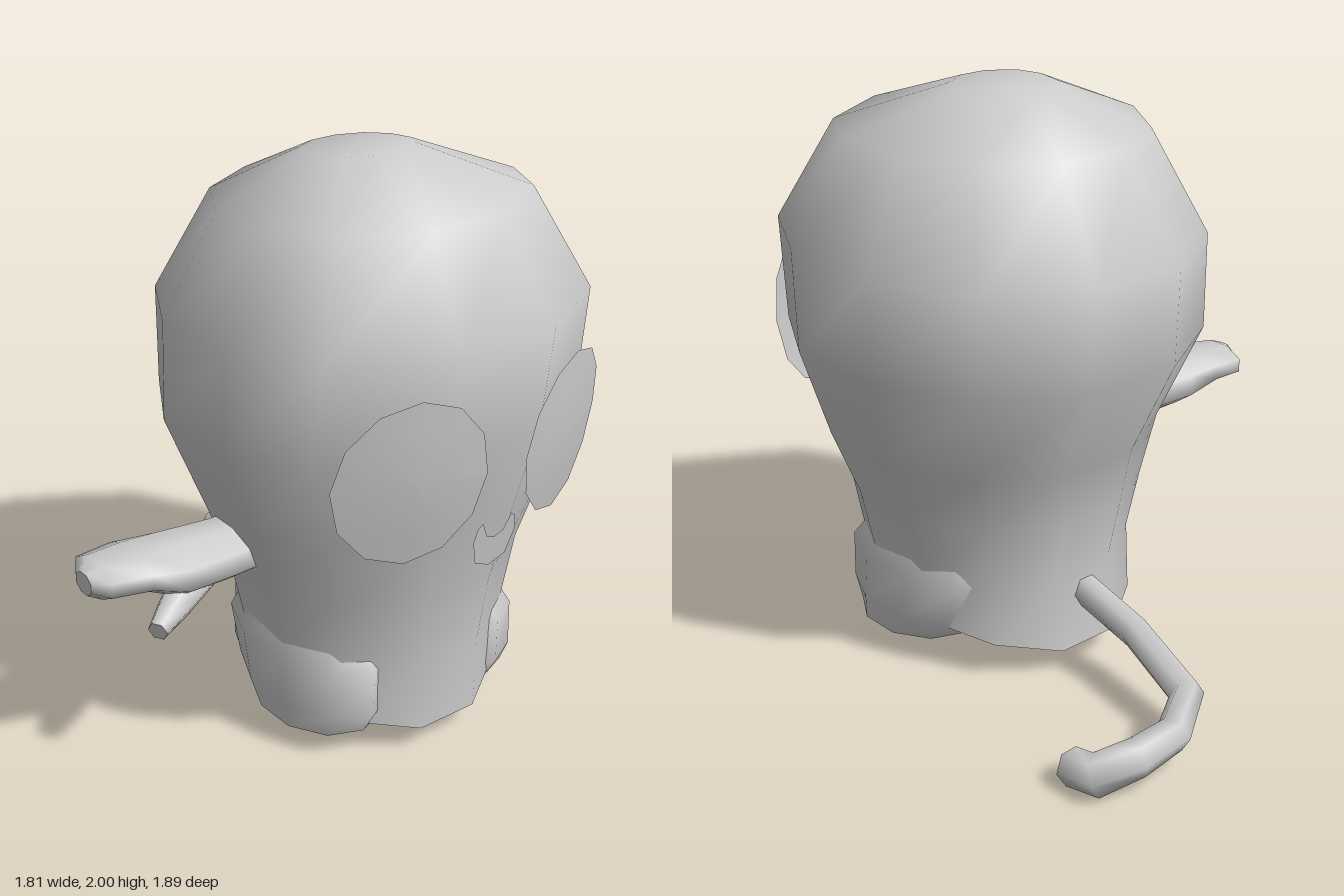
import * as THREE from 'three';

const material = new THREE.MeshStandardMaterial({ color: 0xcccccc, side: THREE.DoubleSide });
const MID = 0.2; // x of the body's plane of symmetry

function addMesh(group, name, geometry) {
  geometry.computeVertexNormals();
  const mesh = new THREE.Mesh(geometry, material);
  mesh.name = name;
  group.add(mesh);
}

// Closed skin over a list of rings; the caps have their own corners so their edges stay sharp.
function loft(rings, lift = 0) {
  const n = rings[0].length;
  const points = rings.flat();
  const index = [];
  for (let i = 0; i < rings.length - 1; i++) {
    for (let j = 0; j < n; j++) {
      const k = (j + 1) % n;
      const a = i * n + j, b = i * n + k, c = a + n, d = b + n;
      index.push(a, c, b, b, c, d);
    }
  }
  [rings[0], rings[rings.length - 1]].forEach((ring, end) => {
    const start = points.length;
    const centre = new THREE.Vector3();
    ring.forEach((p) => centre.addScaledVector(p, 1 / n));
    if (end === 0) centre.y += lift;
    points.push(...ring, centre);
    for (let j = 0; j < n; j++) {
      const a = start + j, b = start + (j + 1) % n;
      index.push(start + n, end ? b : a, end ? a : b);
    }
  });
  const geometry = new THREE.BufferGeometry().setFromPoints(points);
  geometry.setIndex(index);
  return geometry;
}

// Ring of n points, placed by a function of cosine and sine.
function ring(n, place) {
  return Array.from({ length: n }, (_, j) => {
    const t = ((j + 0.5) / n) * Math.PI * 2;
    return new THREE.Vector3(...place(Math.cos(t), Math.sin(t)));
  });
}

// Bent tube of given radii along a list of points.
function limb(path, radii, sides) {
  const pts = path.map((p) => new THREE.Vector3(...p));
  return loft(pts.map((p, i) => {
    const d = pts[Math.min(i + 1, pts.length - 1)].clone().sub(pts[Math.max(i - 1, 0)]).normalize();
    const v = new THREE.Vector3(0, 1, 0).cross(d).normalize();
    const u = d.clone().cross(v);
    return ring(sides, (c, s) => p.clone().addScaledVector(u, c * radii[i]).addScaledVector(v, s * radii[i]).toArray());
  }));
}

export function createModel() {
  const group = new THREE.Group();

  // Body and head: front height, back height, half width, front z, back z
  const profile = [
    [0.08, 0.08, 0.45, 0.73, -0.22],
    [0.36, 0.38, 0.46, 0.73, -0.20],
    [0.62, 0.58, 0.51, 0.76, -0.24],
    [0.88, 0.78, 0.60, 0.82, -0.27],
    [1.20, 1.13, 0.72, 0.89, -0.44],
    [1.55, 1.47, 0.715, 0.93, -0.46],
    [1.88, 1.83, 0.53, 0.72, -0.26],
    [2.00, 1.97, 0.19, 0.34, 0.0],
    [1.985, 1.985, 0.01, 0.18, 0.17],
  ];
  const bodyRings = profile.map(([yf, yb, rx, zf, zb], i) => ring(12, (c, s) => {
    const cheek = s > 0 ? (2 * c * s) ** 2 : 0; // the front corners are fuller than the back
    const k = (s / 0.966) * (1 - 0.07 * cheek);
    const arch = i === 0 ? 0.11 * c * c : 0;
    return [
      MID + 0.985 * rx * c * (1 + 0.12 * cheek),
      (yf + yb) / 2 + k * (yf - yb) / 2 + arch,
      (zf + zb) / 2 + k * (zf - zb) / 2,
    ];
  }));
  addMesh(group, 'body', loft(bodyRings, 0.03));

  // Feet bulging gently out of both sides, and slightly bowed eye discs
  for (const side of [-1, 1]) {
    const name = side > 0 ? 'left' : 'right';
    // foot rings: y, centre x, centre z, half width, half depth
    const footRings = [
      [0.085, 0.28, 0.36, 0.2, 0.25],
      [0.17, 0.28, 0.33, 0.205, 0.33],
      [0.34, 0.28, 0.3, 0.205, 0.36],
      [0.46, 0.26, 0.28, 0.17, 0.28],
    ].map(([y, x, z, rx, rz]) => ring(10, (c, s) => [MID + side * x + rx * c, y, z + rz * s]));
    addMesh(group, name + 'Foot', loft(footRings));

    const eye = new THREE.RingGeometry(0.001, 1, 12, 3);
    eye.scale(0.24, 0.29, 1);
    eye.translate(side * 0.322, 1.145, 0);
    const p = eye.attributes.position;
    for (let i = 0; i < p.count; i++) {
      const x = p.getX(i), y = p.getY(i);
      p.setXYZ(i, x + MID, y, 0.955 - 0.58 * x * x - 0.2 * (1.43 - y) ** 2);
    }
    addMesh(group, name + 'Eye', eye);
  }

  // Nose: a small notched plate leaning with the face
  const half = [[0, 0.765], [0.065, 0.79], [0.09, 0.88], [0.08, 0.93], [0.06, 0.945], [0.035, 0.89], [0, 0.875]];
  const mirrored = half.slice(1, -1).reverse().map(([x, y]) => [-x, y]);
  const nose = new THREE.ShapeGeometry(new THREE.Shape(
    [...half, ...mirrored].map(([x, y]) => new THREE.Vector2(MID + x, y))));
  const np = nose.attributes.position;
  for (let i = 0; i < np.count; i++) np.setZ(i, 0.88 + 0.15 * (np.getY(i) - 0.77));
  addMesh(group, 'nose', nose);

  // Single arm on the right: x, centre y, centre z, half height, half depth
  const arm = new THREE.Group();
  arm.name = 'rightArm';
  const armRings = [
    [-0.2, 0.73, 0.22, 0.1, 0.12],
    [-0.4, 0.725, 0.22, 0.1, 0.13],
    [-0.6, 0.735, 0.215, 0.1, 0.15],
    [-0.72, 0.76, 0.195, 0.07, 0.145],
    [-0.85, 0.755, 0.175, 0.065, 0.12],
    [-0.9, 0.76, 0.195, 0.04, 0.05],
  ].map(([x, y, z, ry, rz]) => ring(8, (c, s) => [x, y + ry * c, z + rz * s]));
  addMesh(arm, 'forearm', loft(armRings));
  addMesh(arm, 'thumb', limb([[-0.42, 0.69, 0.22], [-0.62, 0.64, 0.3], [-0.74, 0.61, 0.37]], [0.06, 0.06, 0.035], 6));
  group.add(arm);

  // Tail sloping down and hooking round to the left
  addMesh(group, 'tail', limb([
    [0.19, 0.29, -0.14], [0.2, 0.22, -0.46], [0.27, 0.15, -0.77], [0.43, 0.12, -0.87],
    [0.6, 0.12, -0.885], [0.715, 0.075, -0.82], [0.72, 0.055, -0.71],
  ], [0.055, 0.055, 0.06, 0.06, 0.065, 0.07, 0.063], 6));

  return group;
}
